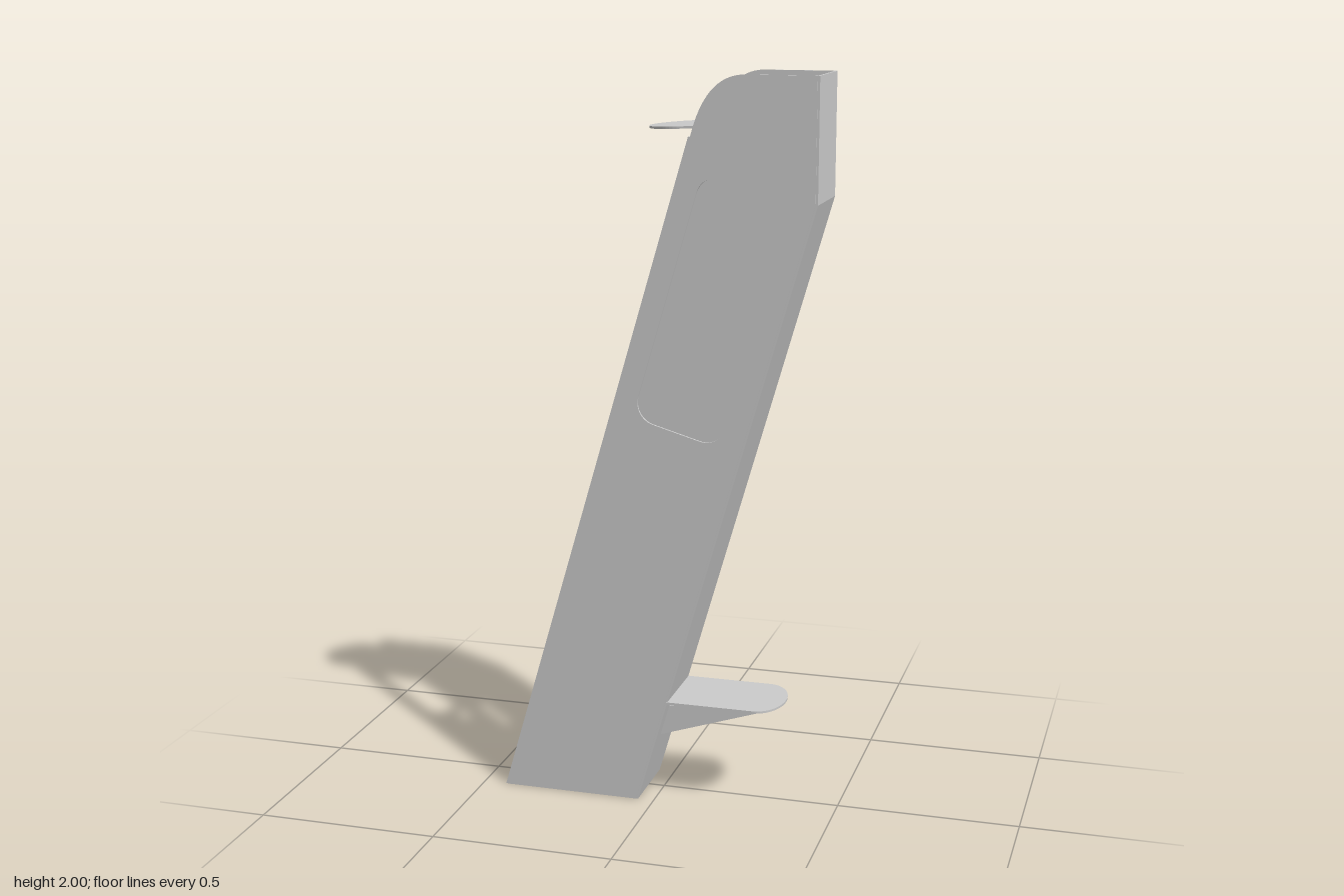
import * as THREE from 'three';

const T = 0.006;                  // sheet thickness
const LEAN = Math.atan(0.2885);   // lean of the body from vertical
const HALF = 0.11;                // half width of the body
const INNER = HALF - T;

const material = new THREE.MeshStandardMaterial({ color: 0xcccccc, side: THREE.DoubleSide });

const polygon = (pts) => new THREE.Shape(pts.map(([x, y]) => new THREE.Vector2(x, y)));

function extrude(shape, depth) {
  return new THREE.ExtrudeGeometry(shape, { depth, bevelEnabled: false, curveSegments: 16 });
}

// Rounded rectangle as a list of points
function roundedRect(x0, y0, x1, y1, r) {
  const p = new THREE.Path();
  p.absarc(x1 - r, y1 - r, r, 0, Math.PI / 2);
  p.absarc(x0 + r, y1 - r, r, Math.PI / 2, Math.PI);
  p.absarc(x0 + r, y0 + r, r, Math.PI, Math.PI * 1.5);
  p.absarc(x1 - r, y0 + r, r, Math.PI * 1.5, Math.PI * 2);
  return p.getPoints(8);
}

// Window measured along (t) and across (s) the leaning body
function window(t0, t1) {
  const c = Math.cos(LEAN), n = Math.sin(LEAN);
  const pts = roundedRect(0.062, t0, 0.315, t1, 0.06)
    .map((p) => new THREE.Vector2(-0.437 + p.x * c + p.y * n, -p.x * n + p.y * c));
  return new THREE.Path(pts);
}

// Side panel outline with rounded upper corner
function sidePanel(t0, t1) {
  const s = polygon([[-0.431, 0], [-0.051, 0], [0.431, 1.675], [0.431, 2], [0.245, 2]]);
  s.bezierCurveTo(0.17, 2, 0.125, 1.94, 0.1, 1.84);
  s.closePath();
  s.holes.push(window(t0, t1));
  return extrude(s, T);
}

// Flat sheet drawn in x and z, tilted about z
function sheet(shape, x, y, tilt = 0) {
  return extrude(shape, T).rotateX(Math.PI / 2).rotateZ(tilt).translate(x, y, 0);
}

export function createModel() {
  const model = new THREE.Group();
  const add = (name, geometry) => {
    const mesh = new THREE.Mesh(geometry, material);
    mesh.name = name;
    model.add(mesh);
  };

  // Side panels: upper window at the front, lower window at the back
  add('frontPanel', sidePanel(1.155, 1.843).translate(0, 0, INNER));
  add('backPanel', sidePanel(0.165, 0.93).translate(0, 0, -HALF));

  // Folded wall joining the panels
  const wall = polygon([[-0.045, 0], [0.437, 1.675], [0.437, 2], [0.431, 2], [0.431, 1.675], [-0.051, 0]]);
  add('wall', extrude(wall, 2 * HALF - 0.004).translate(0, 0, -HALF + 0.002));

  // Flanges folded inward along the open side
  const flange = polygon([[-0.437, 0], [-0.431, 0], [0.0998, 1.84], [0.0938, 1.84]]);
  for (const z of [0.078, -0.107]) add('flange', extrude(flange, 0.029).translate(0, 0, z));

  // Top shelf with a round nose
  const top = polygon([[0.11, -INNER], [0.468, -INNER], [0.468, INNER], [0.11, INNER]]);
  top.absellipse(0.11, 0, 0.11, INNER, Math.PI / 2, Math.PI * 1.5, false);
  add('topShelf', sheet(top, -0.037, 1.859, 0.06));

  // Inner shelf with a curved cut-out and a large opening
  const inner = polygon([[0, -INNER], [0.333, -INNER], [0.333, INNER], [0, INNER], [0, 0.068]]);
  inner.absellipse(0, 0, 0.035, 0.068, Math.PI / 2, -Math.PI / 2, true);
  inner.closePath();
  inner.holes.push(new THREE.Path(roundedRect(0.062, -0.085, 0.29, 0.085, 0.055)));
  add('innerShelf', sheet(inner, -0.105, 1.015, -LEAN));

  // Outer shelf with a curved end, on two brackets
  const outer = polygon([[0.28, HALF], [0.036, HALF], [0.036, -HALF], [0.28, -HALF]]);
  outer.absellipse(0.28, 0, 0.07, HALF, -Math.PI / 2, Math.PI / 2, false);
  add('outerShelf', sheet(outer, 0, 0.295));
  const bracket = polygon([[0.005, 0.178], [0.295, 0.274], [0.295, 0.29], [0.066, 0.29], [0.06, 0.27], [0.031, 0.265]]);
  for (const z of [-0.055, 0.055]) add('bracket', extrude(bracket, T).translate(0, 0, z - T / 2));

  return model;
}
